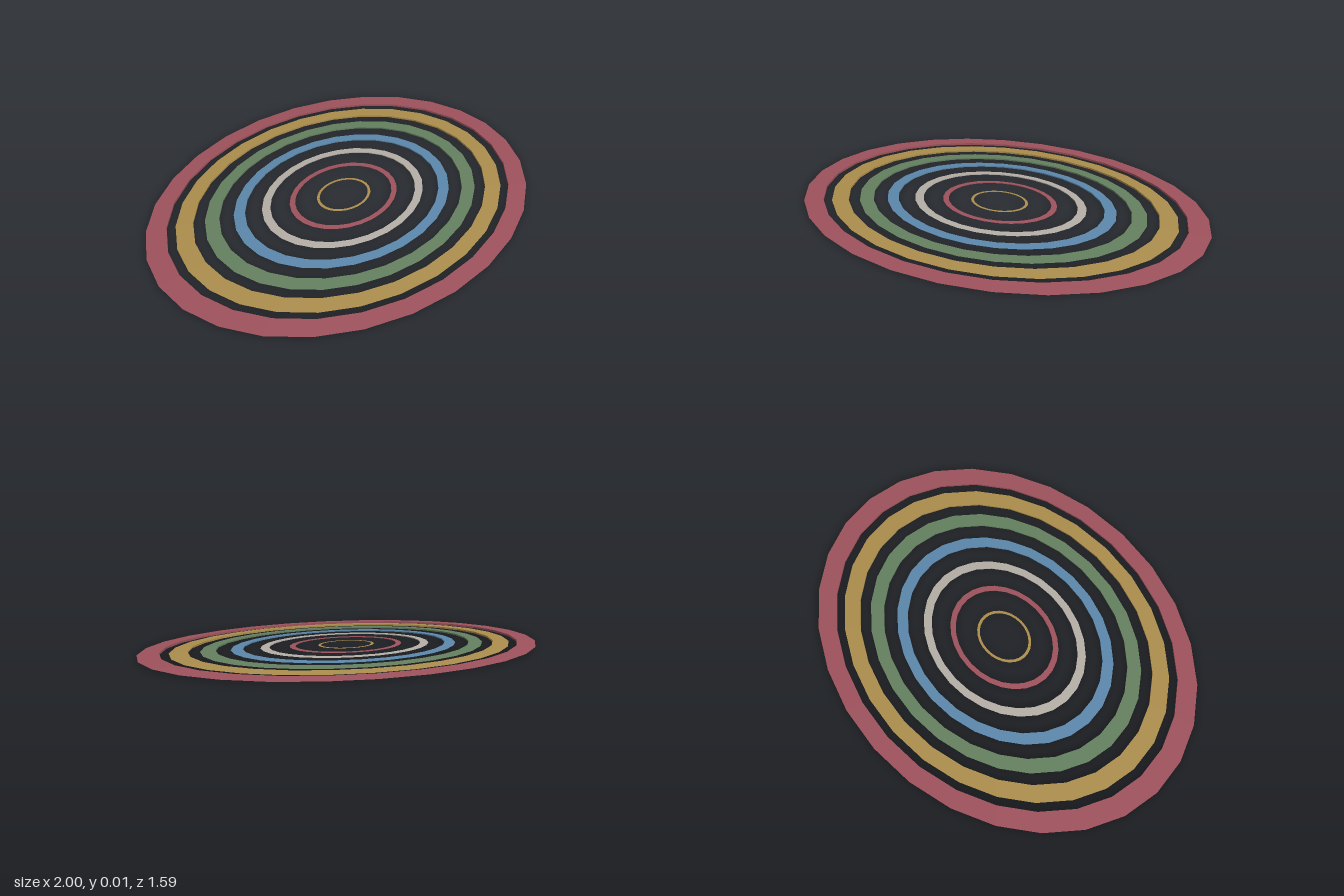
import * as THREE from 'three';

const COLORS = {
  red: 0x9e525c,
  gold: 0xac8d4c,
  green: 0x64805f,
  blue: 0x5b87ab,
  grey: 0xb4aea6,
};
const ORDER = ['red', 'gold', 'green', 'blue', 'grey', 'red', 'gold'];
const DEPTH = 0.796;   // z radius relative to x radius
const HEIGHT = 0.01;   // height of the largest ring

// Flat oval ring: triangular section, upright inner wall, thin outer rim
function ringGeometry(outer) {
  const tube = outer / 15;
  const geometry = new THREE.TorusGeometry(outer - tube, tube, 3, 28);
  geometry.rotateX(-Math.PI / 2);
  geometry.scale(1, HEIGHT / (Math.sqrt(3) / 15), DEPTH);
  geometry.translate(0, HEIGHT / 2, 0);
  return geometry;
}

export function createModel() {
  const model = new THREE.Group();
  model.name = 'concentricRings';

  // Seven evenly spaced rings, largest first
  ORDER.forEach((color, i) => {
    const material = new THREE.MeshStandardMaterial({ color: COLORS[color], flatShading: true });
    const ring = new THREE.Mesh(ringGeometry((7 - i) / 7), material);
    ring.name = `${color}Ring${i + 1}`;
    model.add(ring);
  });
  return model;
}
